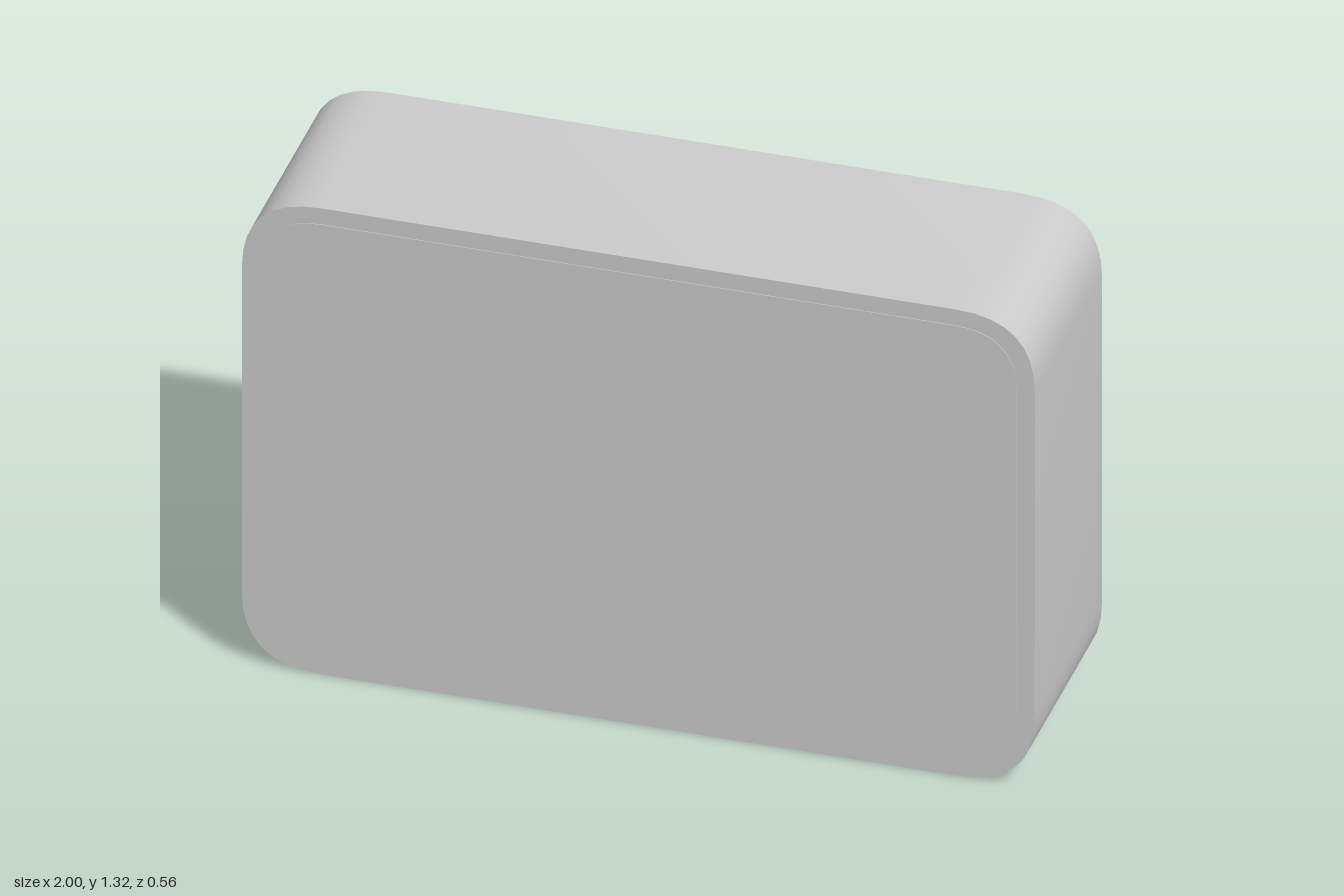
import * as THREE from 'three';
import { toCreasedNormals } from 'three/addons/utils/BufferGeometryUtils.js';

const W = 2, H = 1.32, D = 0.56, WALL = 0.045;

// Rounded rectangle with soft corners, centred on x and on half the height
function outline(target, inset, corner) {
  const x = W / 2 - inset, b = inset, t = H - inset, c = corner;
  target.moveTo(-x + c, b);
  target.lineTo(x - c, b);
  target.quadraticCurveTo(x, b, x, b + c);
  target.lineTo(x, t - c);
  target.quadraticCurveTo(x, t, x - c, t);
  target.lineTo(-x + c, t);
  target.quadraticCurveTo(-x, t, -x, t - c);
  target.lineTo(-x, b + c);
  target.quadraticCurveTo(-x, b, -x + c, b);
  return target;
}

function extrude(shape, back, front) {
  const geometry = new THREE.ExtrudeGeometry(shape, {
    depth: front - back, bevelEnabled: false, curveSegments: 8,
  });
  geometry.translate(0, 0, back);
  return toCreasedNormals(geometry, 0.6);
}

export function createModel() {
  const group = new THREE.Group();
  group.name = 'shelfCabinet';
  const material = new THREE.MeshStandardMaterial({ color: 0xcccccc });
  const add = (name, geometry) => {
    const mesh = new THREE.Mesh(geometry, material);
    mesh.name = name;
    group.add(mesh);
    return mesh;
  };

  // Rounded frame, open at the back
  const ring = outline(new THREE.Shape(), 0, 0.2);
  ring.holes.push(outline(new THREE.Path(), WALL, 0.16));
  add('frame', extrude(ring, -D / 2, D / 2 - 0.002));

  // Thin panel closing the front
  add('frontPanel', extrude(outline(new THREE.Shape(), WALL, 0.16), D / 2 - 0.007, D / 2));

  // Two shelves, set in a little from the open back
  const back = -0.215, front = D / 2 - 0.007;
  [['lowerShelf', 0.375], ['upperShelf', 0.825]].forEach(([name, y]) => {
    const shelf = add(name, new THREE.BoxGeometry(W - 2 * WALL, 0.02, front - back));
    shelf.position.set(0, y, (front + back) / 2);
  });

  return group;
}
